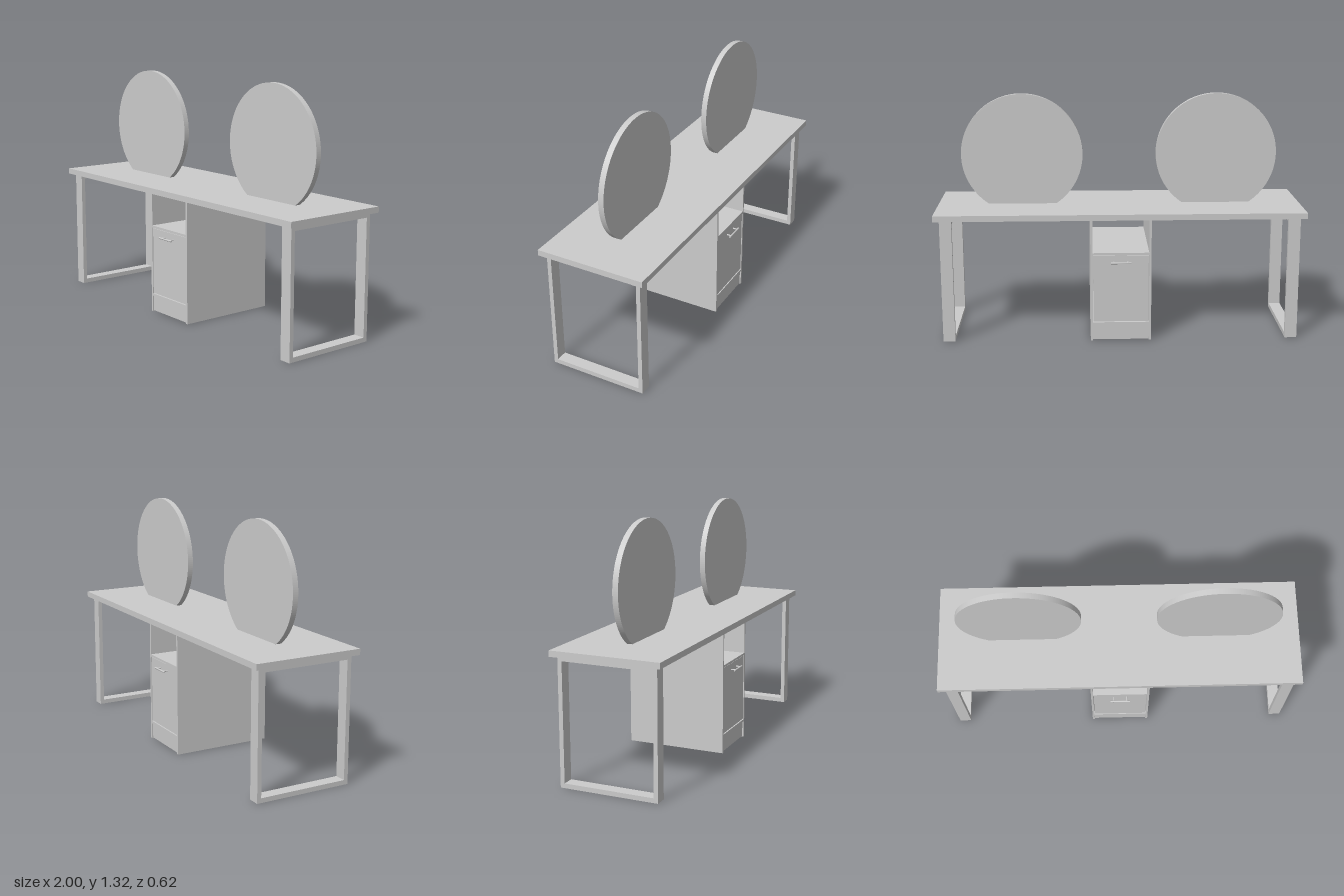
import * as THREE from 'three';

const grey = new THREE.MeshStandardMaterial({ color: 0xcccccc });

function add(parent, name, geometry, x = 0, y = 0, z = 0) {
  const mesh = new THREE.Mesh(geometry, grey);
  mesh.name = name;
  mesh.position.set(x, y, z);
  parent.add(mesh);
  return mesh;
}

// Box given by its width, its bottom and top heights, and its depth range
function board(parent, name, x, width, y0, y1, z0, z1) {
  const geometry = new THREE.BoxGeometry(width, y1 - y0, Math.abs(z1 - z0));
  return add(parent, name, geometry, x, (y0 + y1) / 2, (z0 + z1) / 2);
}

// Rectangular loop leg, extruded across the table's length
function legGeometry() {
  const outer = 0.27, inner = 0.247, width = 0.065;
  const shape = new THREE.Shape([
    new THREE.Vector2(-outer, 0), new THREE.Vector2(outer, 0),
    new THREE.Vector2(outer, 0.68), new THREE.Vector2(-outer, 0.68),
  ]);
  shape.holes.push(new THREE.Path([
    new THREE.Vector2(-inner, 0.025), new THREE.Vector2(-inner, 0.656),
    new THREE.Vector2(inner, 0.656), new THREE.Vector2(inner, 0.025),
  ]));
  const geometry = new THREE.ExtrudeGeometry(shape, { depth: width, bevelEnabled: false });
  return geometry.translate(0, 0, -width / 2).rotateY(Math.PI / 2);
}

// Round disc cut flat where it meets the tabletop
function mirrorGeometry() {
  const radius = 0.333, thickness = 0.031, drop = 0.278;
  const a = Math.asin(drop / radius);
  const shape = new THREE.Shape();
  shape.absarc(0, 0, radius, -a, Math.PI + a, false);
  shape.closePath();
  const geometry = new THREE.ExtrudeGeometry(shape, { depth: thickness, bevelEnabled: false, curveSegments: 72 });
  return geometry.translate(0, 0, -thickness / 2);
}

// Bar pull on two short posts
function handle(parent, side) {
  const group = new THREE.Group();
  group.name = 'handle';
  parent.add(group);
  const bar = add(group, 'handleBar', new THREE.CylinderGeometry(0.005, 0.005, 0.11, 12), 0, 0.445, side * 0.303);
  bar.rotation.z = Math.PI / 2;
  for (const x of [-0.038, 0.038]) {
    const post = add(group, 'handlePost', new THREE.CylinderGeometry(0.004, 0.004, 0.028, 10), x, 0.445, side * 0.289);
    post.rotation.x = Math.PI / 2;
  }
}

export function createModel() {
  const model = new THREE.Group();
  model.name = 'doubleDressingTable';

  board(model, 'tabletop', 0, 2, 0.68, 0.712, -0.3, 0.3);

  // Legs and mirrors at both ends
  const leg = legGeometry();
  const mirror = mirrorGeometry();
  for (const side of [-1, 1]) {
    add(model, 'legFrame', leg, side * 0.937, 0, 0);
    add(model, 'mirror', mirror, side * 0.535, 0.988, 0);
  }

  // Central cabinet, open niche on top and hollow under the bottom shelf
  const cabinet = new THREE.Group();
  cabinet.name = 'cabinet';
  model.add(cabinet);
  const inside = 0.306;
  for (const side of [-1, 1]) {
    board(cabinet, 'sidePanel', side * 0.159, 0.012, 0, 0.68, -0.28, 0.28);
  }
  board(cabinet, 'nicheShelf', 0, inside, 0.483, 0.496, -0.28, 0.28);
  board(cabinet, 'bottomShelf', 0, inside, 0.09, 0.104, -0.28, 0.28);

  // Doors, plinths and handles on front and back
  for (const side of [-1, 1]) {
    board(cabinet, 'door', 0, 0.3, 0.108, 0.48, side * 0.264, side * 0.277);
    board(cabinet, 'plinth', 0, inside, 0.004, 0.09, side * 0.26, side * 0.273);
    handle(cabinet, side);
  }
  return model;
}
